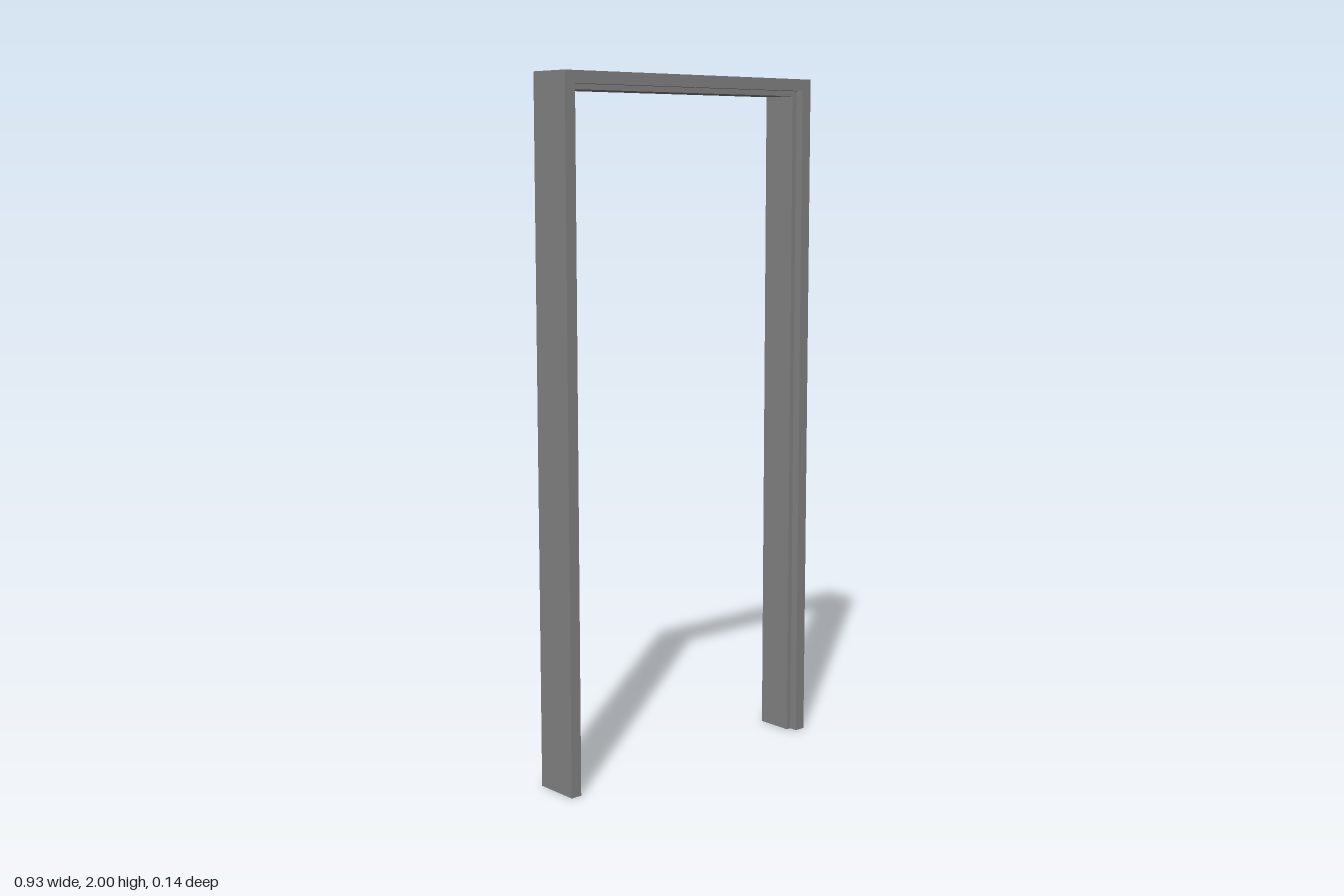
import * as THREE from 'three';

const W = 0.463, H = 2, D = 0.068;   // outer half width, height, half depth
const REBATE_Z = 0.043;              // where the door rebate starts

export function createModel() {
  const group = new THREE.Group();
  group.name = 'doorFrame';
  const material = new THREE.MeshStandardMaterial({ color: 0x848484, flatShading: true });

  // Upside-down U outline of the given board thickness, extruded from z0 to z1
  function addSurround(name, thickness, z0, z1) {
    const x = W - thickness, y = H - thickness;
    const outline = [[-W, 0], [-x, 0], [-x, y], [x, y], [x, 0], [W, 0], [W, H], [-W, H]];
    const shape = new THREE.Shape(outline.map(([px, py]) => new THREE.Vector2(px, py)));
    const geometry = new THREE.ExtrudeGeometry(shape, { depth: z1 - z0, bevelEnabled: false });
    geometry.translate(0, 0, z0);
    const mesh = new THREE.Mesh(geometry, material);
    mesh.name = name;
    group.add(mesh);
  }

  // Thick jambs and head that the door closes against
  addSurround('doorStop', 0.049, -D, REBATE_Z);
  // Thinner front lip forming the rebate
  addSurround('rebateLip', 0.034, REBATE_Z, D);

  return group;
}
